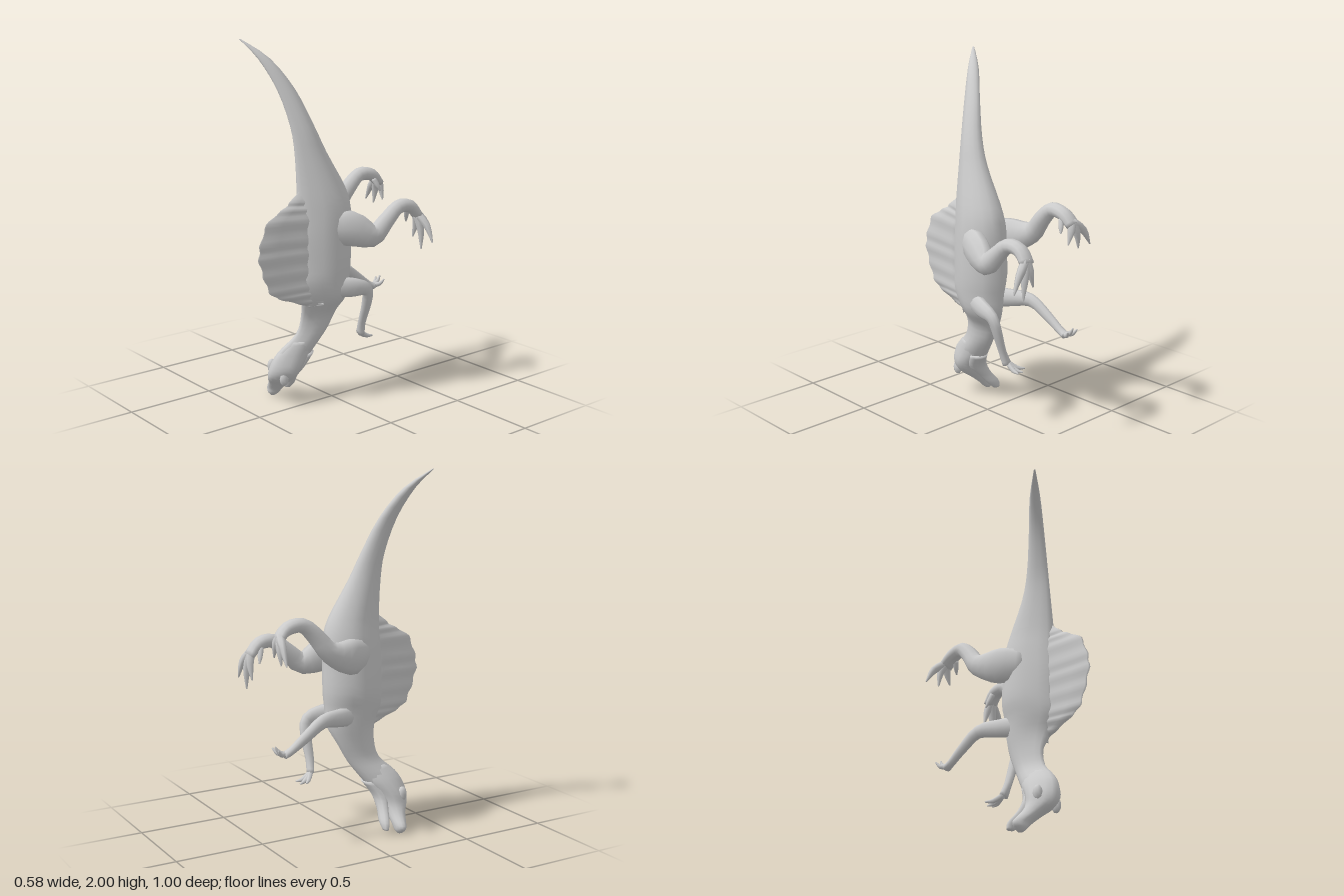
import * as THREE from 'three';

const V = (x, y, z) => new THREE.Vector3(x, y, z);
const material = new THREE.MeshStandardMaterial({ color: 0xcccccc });

// Skin a list of equal-sized rings, cap both ends and face it outward
function skin(name, rings) {
  const n = rings[0].length, points = rings.flat(), index = [];
  rings.slice(1).forEach((_, k) => {
    for (let j = 0; j < n; j++) {
      const a = k * n + j, b = k * n + (j + 1) % n;
      index.push(a, b, a + n, b, b + n, a + n);
    }
  });
  [0, rings.length - 1].forEach((k) => {
    const c = points.length;
    const mid = V(0, 0, 0);
    rings[k].forEach((p) => mid.addScaledVector(p, 1 / n));
    points.push(mid);
    for (let j = 0; j < n; j++) {
      const a = k * n + j, b = k * n + (j + 1) % n;
      index.push(...(k ? [c, a, b] : [c, b, a]));
    }
  });
  let volume = 0;
  const cross = V(0, 0, 0);
  for (let i = 0; i < index.length; i += 3) {
    cross.crossVectors(points[index[i + 1]], points[index[i + 2]]);
    volume += points[index[i]].dot(cross);
  }
  if (volume < 0) index.reverse();
  const geometry = new THREE.BufferGeometry().setFromPoints(points);
  geometry.setIndex(index);
  geometry.computeVertexNormals();
  const mesh = new THREE.Mesh(geometry, material);
  mesh.name = name;
  return mesh;
}

// Smoothly resample rows of numbers
function resample(rows, steps) {
  const at = (i) => rows[Math.min(Math.max(i, 0), rows.length - 1)];
  const out = [];
  for (let s = 0; s <= (rows.length - 1) * steps; s++) {
    const i = Math.floor(s / steps), t = s / steps - i;
    out.push(at(i).map((b, k) => {
      const a = at(i - 1)[k], c = at(i + 1)[k], d = at(i + 2)[k];
      return b + 0.5 * t * (c - a + t * (2 * a - 5 * b + 4 * c - d + t * (3 * (b - c) + d - a)));
    }));
  }
  return out;
}

// Level egg-shaped sections: [y, xMin, xMax, zMin, zMax]
function levelLoft(name, rows, narrow, steps = 3, sides = 16) {
  return skin(name, resample(rows, steps).map(([y, x0, x1, z0, z1]) =>
    Array.from({ length: sides }, (_, j) => {
      const a = j / sides * Math.PI * 2, s = Math.sin(a);
      const w = s > 0 ? 1 - narrow * s : 1;
      return V((x0 + x1) / 2 + (x1 - x0) / 2 * Math.cos(a) * w, Math.max(y, 0),
        (z0 + z1) / 2 + (z1 - z0) / 2 * s);
    })));
}

// Limb along a path: [x, y, z, sideways radius, other radius]
function limb(name, rows, steps = 3, sides = 10) {
  const path = resample(rows, steps);
  return skin(name, path.map(([x, y, z, r, q], i) => {
    const a = path[Math.max(i - 1, 0)], b = path[Math.min(i + 1, path.length - 1)];
    const tangent = V(b[0] - a[0], b[1] - a[1], b[2] - a[2]).normalize();
    const up = tangent.clone().cross(V(1, 0, 0)).normalize();
    const side = up.clone().cross(tangent);
    return Array.from({ length: sides }, (_, j) => {
      const t = j / sides * Math.PI * 2;
      const p = V(x, y, z).addScaledVector(side, r * Math.cos(t)).addScaledVector(up, q * Math.sin(t));
      p.z = Math.max(p.z, -0.5);
      return p;
    });
  }));
}

// Tapering digits fanning from one root: each tip is [x, y, z]
function digits(name, root, tips, r, bend) {
  const group = new THREE.Group();
  group.name = name;
  tips.forEach((tip) => {
    const mid = root.map((v, k) => v * 0.45 + tip[k] * 0.55 + bend[k]);
    group.add(limb('digit', [[...root, r, r], [...mid, r * 0.85, r * 0.85], [...tip, 0.004, 0.004]], 3, 7));
  });
  return group;
}

// Thin ribbed sail along the back
function sail() {
  const edge = [[1.24, 0.21], [1.16, 0.29], [1.12, 0.35], [1.06, 0.445], [0.95, 0.49], [0.87, 0.5],
    [0.77, 0.47], [0.68, 0.43], [0.635, 0.36], [0.59, 0.245], [0.56, 0.18]];
  const profile = [[0, 0.065], [0.35, 0.035], [0.7, 0.018], [1, 0.006]];
  const rings = resample(edge, 5).map(([y, z], i) => {
    const rib = Math.cos(i * Math.PI * 2 / 5);
    const top = z + 0.006 * (rib - 1), base = 0.12;
    const side = (s) => profile.map(([t, w]) =>
      V(0.012 + s * w * (1 + 0.2 * rib * t), y + 0.04 * (1 - t) * (0.88 - y), base + (top - base) * t));
    return [...side(1), ...side(-1).reverse()];
  });
  return skin('sail', rings);
}

export function createModel() {
  const model = new THREE.Group();
  model.name = 'sailBackedDinosaur';

  // Tail, trunk and neck in one skin
  model.add(levelLoft('body', [
    [2.0, -0.275, -0.265, 0.395, 0.405],
    [1.9, -0.212, -0.155, 0.275, 0.345],
    [1.74, -0.135, -0.065, 0.175, 0.285],
    [1.55, -0.09, 0.01, 0.1, 0.245],
    [1.4, -0.08, 0.05, 0.035, 0.235],
    [1.2, -0.1, 0.105, -0.075, 0.235],
    [1.08, -0.12, 0.125, -0.108, 0.24],
    [0.95, -0.13, 0.13, -0.11, 0.25],
    [0.8, -0.135, 0.13, -0.11, 0.25],
    [0.7, -0.115, 0.12, -0.1, 0.25],
    [0.6, -0.1, 0.1, -0.09, 0.21],
    [0.5, -0.09, 0.03, -0.045, 0.19],
    [0.4, -0.095, 0.012, 0.01, 0.215],
    [0.31, -0.13, 0.0, 0.075, 0.31],
    [0.24, -0.15, -0.02, 0.13, 0.33],
  ], 0.4));
  model.add(sail());

  // Skull with upper snout, then lower jaw
  model.add(levelLoft('skull', [
    [0.36, -0.1, 0.0, 0.08, 0.25],
    [0.29, -0.145, 0.0, 0.1, 0.325],
    [0.21, -0.18, 0.0, 0.16, 0.355],
    [0.15, -0.195, -0.035, 0.185, 0.35],
    [0.1, -0.225, -0.1, 0.2, 0.31],
    [0.05, -0.272, -0.16, 0.205, 0.28],
    [0.02, -0.265, -0.19, 0.21, 0.275],
    [0, -0.24, -0.215, 0.225, 0.26],
  ], 0.25));
  model.add(levelLoft('lowerJaw', [
    [0.28, -0.12, -0.01, 0.09, 0.2],
    [0.2, -0.155, -0.03, 0.145, 0.22],
    [0.13, -0.19, -0.1, 0.148, 0.205],
    [0.07, -0.235, -0.15, 0.133, 0.182],
    [0.03, -0.24, -0.195, 0.138, 0.168],
  ], 0, 3, 10));

  // Brow ridges either side of the skull
  [[-0.165, 0.2, 0.295], [-0.045, 0.16, 0.3]].forEach(([x, y, z]) => {
    const brow = new THREE.Mesh(new THREE.SphereGeometry(0.028, 8, 6), material);
    brow.name = 'brow';
    brow.scale.set(0.8, 1.5, 1);
    brow.position.set(x, y, z);
    model.add(brow);
  });

  // Hind legs, posed mid-stride
  model.add(limb('leftHindLeg', [
    [0.06, 1.0, 0.1, 0.04, 0.08], [0.115, 0.99, -0.03, 0.06, 0.1], [0.16, 0.94, -0.16, 0.05, 0.065],
    [0.165, 1.0, -0.24, 0.045, 0.05], [0.17, 1.075, -0.33, 0.04, 0.04],
    [0.17, 1.07, -0.42, 0.042, 0.036], [0.175, 1.01, -0.475, 0.045, 0.025]]));
  model.add(limb('rightHindLeg', [
    [-0.07, 1.0, 0.1, 0.04, 0.08], [-0.14, 1.01, -0.03, 0.06, 0.1], [-0.172, 1.05, -0.17, 0.05, 0.06],
    [-0.165, 1.14, -0.25, 0.045, 0.048], [-0.16, 1.21, -0.33, 0.04, 0.04],
    [-0.157, 1.2, -0.42, 0.042, 0.036], [-0.165, 1.15, -0.475, 0.045, 0.025]]));
  model.add(digits('leftToes', [0.175, 1.03, -0.465],
    [[0.285, 0.87, -0.49], [0.205, 0.82, -0.48], [0.135, 0.88, -0.48]], 0.025, [0.005, 0.02, -0.008]));
  model.add(digits('rightToes', [-0.165, 1.17, -0.465],
    [[-0.285, 1.03, -0.49], [-0.205, 1.02, -0.48], [-0.125, 1.05, -0.48]], 0.025, [-0.005, 0.02, -0.008]));
  model.add(digits('leftDewclaw', [0.145, 1.05, -0.42], [[0.115, 0.97, -0.445]], 0.016, [0, 0, 0]));
  model.add(digits('rightDewclaw', [-0.135, 1.18, -0.42], [[-0.105, 1.11, -0.445]], 0.016, [0, 0, 0]));

  // Arms: left folded downward, right reaching out
  model.add(limb('leftArm', [
    [0.06, 0.66, 0.04, 0.04, 0.06], [0.1, 0.65, -0.06, 0.035, 0.055], [0.115, 0.625, -0.155, 0.028, 0.038],
    [0.095, 0.54, -0.175, 0.024, 0.033], [0.055, 0.42, -0.175, 0.02, 0.025], [0.03, 0.345, -0.185, 0.028, 0.02]]));
  model.add(digits('leftFingers', [0.025, 0.35, -0.185],
    [[-0.045, 0.315, -0.25], [-0.01, 0.305, -0.27], [0.03, 0.31, -0.275]], 0.015, [0, -0.012, 0]));
  model.add(limb('rightArm', [
    [-0.05, 0.66, 0.04, 0.04, 0.06], [-0.1, 0.67, -0.08, 0.035, 0.05], [-0.14, 0.675, -0.2, 0.03, 0.038],
    [-0.155, 0.61, -0.31, 0.025, 0.03], [-0.16, 0.55, -0.4, 0.022, 0.022], [-0.16, 0.53, -0.445, 0.028, 0.02]]));
  model.add(digits('rightFingers', [-0.16, 0.535, -0.435],
    [[-0.195, 0.57, -0.495], [-0.16, 0.585, -0.497], [-0.12, 0.57, -0.495]], 0.015, [0, -0.012, -0.005]));
  return model;
}
